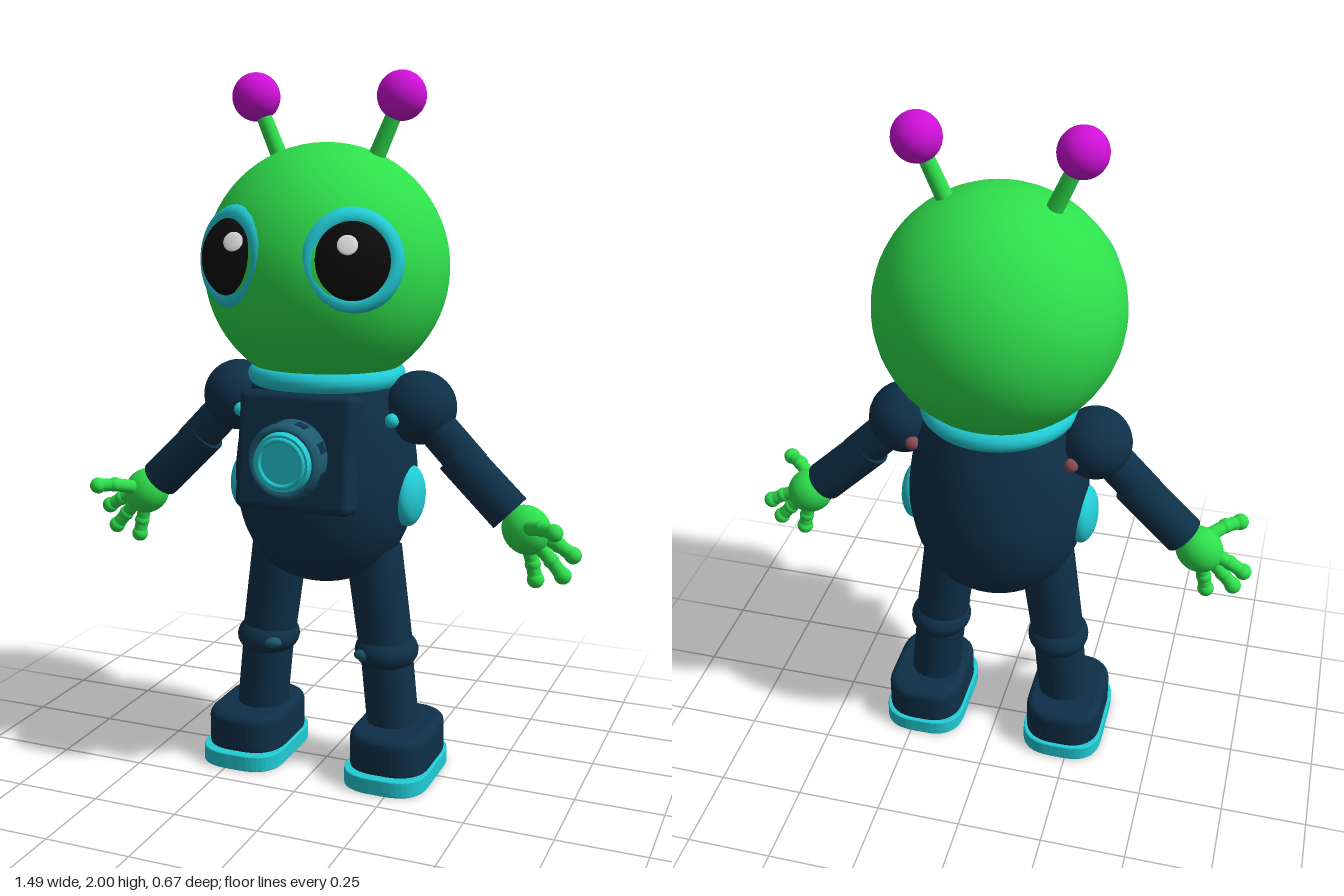
import * as THREE from 'three';
import { RoundedBoxGeometry } from 'three/addons/geometries/RoundedBoxGeometry.js';

const mat = (name, color) => {
  const m = new THREE.MeshStandardMaterial({ color });
  m.name = name;
  return m;
};

export function createModel() {
  const root = new THREE.Group();
  root.name = 'alien';
  const green = mat('green skin', 0x2ee04c);
  const navy = mat('navy suit', 0x0e3048);
  const cyan = mat('cyan trim', 0x22ccd6);
  const teal = mat('dark teal', 0x1d5a70);
  const magenta = mat('magenta', 0xcf10d8);
  const black = mat('black eye', 0x0b0b0b);
  const white = mat('white glint', 0xe2e2e2);
  const rose = mat('dull rose', 0x8a4a52);

  const add = (name, geo, material, pos = [0, 0, 0], parent = root) => {
    const m = new THREE.Mesh(geo, material);
    m.name = name;
    m.position.set(...pos);
    parent.add(m);
    return m;
  };
  const ball = (name, material, pos, rx, ry = rx, rz = rx, parent = root) => {
    const m = add(name, new THREE.SphereGeometry(1, 32, 20), material, pos, parent);
    m.scale.set(rx, ry, rz);
    return m;
  };
  // Tapered round bar from a to b
  const limb = (name, material, a, b, ra, rb = ra) => {
    const p = new THREE.Vector3(...a), q = new THREE.Vector3(...b);
    const d = q.clone().sub(p);
    const m = add(name, new THREE.CylinderGeometry(rb, ra, d.length(), 24), material);
    m.position.copy(p).add(q).multiplyScalar(0.5);
    m.quaternion.setFromUnitVectors(new THREE.Vector3(0, 1, 0), d.normalize());
    return m;
  };
  // Rounded footprint extruded upwards, with an optional soft edge
  const slab = (w, l, r, h, bevel) => {
    const x = w / 2 - bevel, y = l / 2 - bevel, k = r - bevel;
    const s = new THREE.Shape();
    s.moveTo(-x + k, -y);
    s.lineTo(x - k, -y);
    s.quadraticCurveTo(x, -y, x, -y + k);
    s.lineTo(x, y - k);
    s.quadraticCurveTo(x, y, x - k, y);
    s.lineTo(-x + k, y);
    s.quadraticCurveTo(-x, y, -x, y - k);
    s.lineTo(-x, -y + k);
    s.quadraticCurveTo(-x, -y, -x + k, -y);
    const g = new THREE.ExtrudeGeometry(s, {
      depth: h - 2 * bevel, bevelEnabled: bevel > 0, bevelSize: bevel,
      bevelThickness: bevel, bevelSegments: 4, curveSegments: 10,
    });
    g.translate(0, 0, bevel);
    g.rotateX(-Math.PI / 2);
    return g;
  };

  // Head and collar
  const head = add('head', new THREE.SphereGeometry(1, 48, 32), green, [0, 1.468, 0]);
  head.scale.set(0.344, 0.342, 0.333);
  const collar = add('collar', new THREE.TorusGeometry(0.192, 0.031, 14, 48), cyan, [0, 1.171, 0]);
  collar.rotation.x = Math.PI / 2;

  // Egg-shaped torso
  const profile = new THREE.SplineCurve([
    [0, 0.565], [0.1, 0.585], [0.18, 0.637], [0.235, 0.73], [0.26, 0.85],
    [0.256, 0.95], [0.236, 1.06], [0.2, 1.17],
  ].map(p => new THREE.Vector2(...p))).getPoints(32);
  profile[0].x = 0;
  profile.push(new THREE.Vector2(0, 1.17));
  add('torso', new THREE.LatheGeometry(profile, 48), navy);

  // Chest panel with a round dial
  const panel = add('chestPanel', new RoundedBoxGeometry(0.335, 0.325, 0.1, 4, 0.022), navy, [0, 0.982, 0.203]);
  panel.rotation.x = -0.15;
  const dial = new THREE.Group();
  dial.name = 'chestDial';
  dial.position.set(0, 0.975, 0.23);
  root.add(dial);
  const dialProfile = [[0.105, 0], [0.105, 0.075], [0.096, 0.09], [0.086, 0.09], [0.084, 0.08], [0, 0.08]];
  const housing = add('dialHousing', new THREE.LatheGeometry(
    dialProfile.map(p => new THREE.Vector2(...p)), 32), teal, [0, 0, 0], dial);
  housing.rotation.x = Math.PI / 2;
  const face = add('dialFace', new THREE.CylinderGeometry(0.078, 0.086, 0.03, 32), cyan, [0, 0, 0.085], dial);
  face.rotation.x = Math.PI / 2;
  add('dialRing', new THREE.TorusGeometry(0.064, 0.007, 8, 32), cyan, [0, 0, 0.1], dial);
  for (let i = 0; i < 8; i++) {
    const a = (i + 0.5) * Math.PI / 4;
    const notch = add('dialNotch', new THREE.BoxGeometry(0.008, 0.03, 0.035), navy,
      [0.102 * Math.cos(a), 0.102 * Math.sin(a), 0.045], dial);
    notch.rotation.z = a;
  }

  for (const s of [-1, 1]) {
    const side = s > 0 ? 'left' : 'right';
    const nm = part => side + part;

    // Eye, facing outward from the head
    const eye = new THREE.Group();
    eye.name = nm('Eye');
    eye.position.set(s * 0.163, 1.508, 0.238);
    eye.rotation.set(-0.1, s * 0.49, 0, 'YXZ');
    root.add(eye);
    const rim = add('eyeRim', new THREE.TorusGeometry(0.11, 0.033, 14, 40), cyan, [0, 0, -0.005], eye);
    rim.scale.z = 1.25;
    ball('eyeball', black, [0, 0, 0], 0.109, 0.112, 0.086, eye);
    const [u, v] = s < 0 ? [0.062, 0.042] : [-0.018, 0.04];
    const w = 0.086 * Math.sqrt(1 - (u * u + v * v) / 0.0119);
    const glint = ball('eyeGlint', white, [u, v, w], 0.027, 0.027, 0.005, eye);
    glint.quaternion.setFromUnitVectors(new THREE.Vector3(0, 0, 1),
      new THREE.Vector3(u / 0.0119, v / 0.0125, w / 0.0074).normalize());

    // Antenna
    limb(nm('AntennaStem'), green, [s * 0.13, 1.74, -0.003], [s * 0.207, 1.915, -0.006], 0.024, 0.021);
    ball(nm('AntennaTip'), magenta, [s * 0.214, 1.932, -0.006], 0.067);

    // Shoulder with front and back studs, side disc
    ball(nm('Shoulder'), navy, [s * 0.277, 1.088, -0.005], 0.103);
    ball(nm('FrontStud'), cyan, [s * 0.228, 1.064, 0.09], 0.02);
    ball(nm('BackStud'), rose, [s * 0.228, 1.064, -0.098], 0.02);
    ball(nm('SideDisc'), cyan, [s * 0.25, 0.835, 0], 0.042, 0.088, 0.08);

    // Arm
    limb(nm('UpperArm'), navy, [s * 0.28, 1.085, 0], [s * 0.43, 0.93, 0], 0.056);
    limb(nm('Forearm'), navy, [s * 0.385, 0.965, 0], [s * 0.542, 0.812, 0], 0.06, 0.061);

    // Hand with three fanned fingers and a forward thumb
    const palm = ball(nm('Palm'), green, [s * 0.59, 0.77, 0], 0.072, 0.066, 0.062);
    palm.rotation.z = -s * Math.PI / 4;
    const fingers = [
      ['Thumb', [0.6, 0.785, 0.035], [0.652, 0.802, 0.085], [0.692, 0.802, 0.115]],
      ['OuterFinger', [0.625, 0.765, 0], [0.68, 0.737, 0], [0.72, 0.712, 0]],
      ['MiddleFinger', [0.615, 0.745, 0.005], [0.662, 0.692, 0.005], [0.695, 0.653, 0.005]],
      ['InnerFinger', [0.595, 0.735, 0], [0.61, 0.675, 0], [0.619, 0.632, 0]],
    ];
    for (const [name, ...pts] of fingers) {
      const [a, b, c] = pts.map(([x, y, z]) => [s * x, y, z]);
      limb(nm(name + 'Base'), green, a, b, 0.022, 0.019);
      limb(nm(name + 'End'), green, b, c, 0.019, 0.02);
      ball(nm(name + 'Knuckle'), green, b, 0.022);
      ball(nm(name + 'Tip'), green, c, 0.024);
    }

    // Leg
    limb(nm('Thigh'), navy, [s * 0.145, 0.67, 0], [s * 0.186, 0.37, 0], 0.082, 0.079);
    limb(nm('Shin'), navy, [s * 0.186, 0.37, 0], [s * 0.212, 0.11, 0], 0.076);
    ball(nm('Knee'), navy, [s * 0.187, 0.37, 0], 0.092, 0.062, 0.097);
    ball(nm('KneePatch'), teal, [s * 0.15, 0.37, 0.074], 0.036, 0.018, 0.018);

    // Boot
    add(nm('Boot'), slab(0.232, 0.318, 0.1, 0.125, 0.024), navy, [s * 0.224, 0.032, 0.003]);
    add(nm('Sole'), slab(0.246, 0.355, 0.1, 0.048, 0.004), cyan, [s * 0.224, 0.002, 0.011]);
  }
  return root;
}
